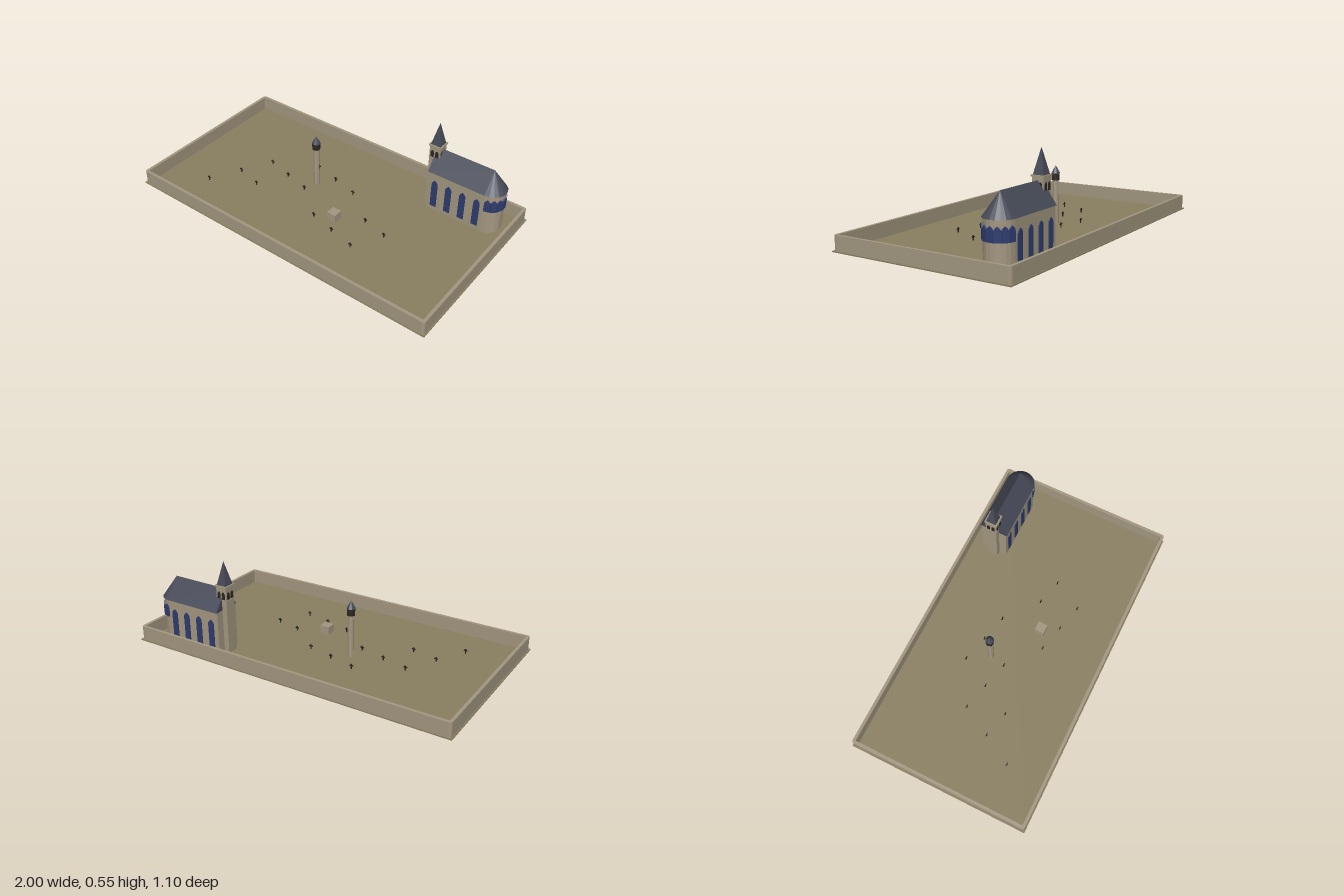
import * as THREE from 'three';

const mat = (color) => new THREE.MeshStandardMaterial({ color, flatShading: true });
const stone = mat(0xa39780);
const earth = mat(0x8a8062);
const slate = mat(0x464a57);
const glass = mat(0x2f3d70);
const dark = mat(0x2c2724);

function add(parent, name, geometry, material, x = 0, y = 0, z = 0) {
  const mesh = new THREE.Mesh(geometry, material);
  mesh.name = name;
  mesh.position.set(x, y, z);
  parent.add(mesh);
  return mesh;
}

// Box standing on y
function box(parent, name, material, w, h, d, x, y, z) {
  return add(parent, name, new THREE.BoxGeometry(w, h, d), material, x, y + h / 2, z);
}

// Rectangle with rounded corners, given by half extents
function roundedRect(shape, a, b, r) {
  shape.moveTo(a, -b + r);
  shape.lineTo(a, b - r);
  shape.quadraticCurveTo(a, b, a - r, b);
  shape.lineTo(-a + r, b);
  shape.quadraticCurveTo(-a, b, -a, b - r);
  shape.lineTo(-a, -b + r);
  shape.quadraticCurveTo(-a, -b, -a + r, -b);
  shape.lineTo(a - r, -b);
  shape.quadraticCurveTo(a, -b, a, -b + r);
  return shape;
}

// Pointed-arch panel, base at y = 0, facing +z
function lancet(w, h, depth) {
  const s = new THREE.Shape();
  const spring = h - w * 0.75;
  s.moveTo(-w / 2, 0);
  s.lineTo(w / 2, 0);
  s.lineTo(w / 2, spring);
  s.quadraticCurveTo(w / 2, spring + w * 0.4, 0, h);
  s.quadraticCurveTo(-w / 2, spring + w * 0.4, -w / 2, spring);
  const g = new THREE.ExtrudeGeometry(s, { depth, bevelEnabled: false, curveSegments: 4 });
  return g.translate(0, 0, -depth / 2);
}

function createChapel() {
  const chapel = new THREE.Group();
  chapel.name = 'chapel';
  chapel.position.z = -0.38;
  const eaves = 0.265, ridge = 0.387, r = 0.081, apseX = 0.835, westX = 0.475;

  // Nave and half-round apse
  box(chapel, 'nave', stone, apseX - westX, eaves, r * 2, (apseX + westX) / 2, 0, 0);
  add(chapel, 'apse', new THREE.CylinderGeometry(r, r, eaves, 10, 1, false, 0, Math.PI),
    stone, apseX, eaves / 2, 0);

  // Gabled roof ending in a half cone
  const gable = new THREE.Shape([
    new THREE.Vector2(-0.088, eaves), new THREE.Vector2(0.088, eaves), new THREE.Vector2(0, ridge)]);
  const roof = new THREE.ExtrudeGeometry(gable, { depth: apseX - westX, bevelEnabled: false });
  roof.rotateY(Math.PI / 2);
  add(chapel, 'naveRoof', roof, slate, westX, 0, 0);
  add(chapel, 'apseRoof', new THREE.ConeGeometry(0.088, ridge - eaves, 10, 1, false, 0, Math.PI),
    slate, apseX, (eaves + ridge) / 2, 0);

  // Lancet windows along both nave sides
  const naveWindow = lancet(0.038, 0.18, 0.01);
  for (const side of [1, -1])
    for (let i = 0; i < 4; i++)
      add(chapel, 'naveWindow', naveWindow, glass, 0.523 + i * 0.09, 0.035, side * r);

  // Ring of short windows round the apse
  const apseWindow = lancet(0.036, 0.077, 0.012);
  for (let i = -3; i <= 3; i++) {
    const a = Math.PI / 2 + i * 0.44;
    const w = add(chapel, 'apseWindow', apseWindow, glass,
      apseX + Math.sin(a) * r, 0.159, Math.cos(a) * r);
    w.rotation.y = a;
  }

  // Bell tower with paired openings and a spire
  const tower = new THREE.Group();
  tower.name = 'bellTower';
  tower.position.x = 0.477;
  chapel.add(tower);
  box(tower, 'towerShaft', stone, 0.068, 0.405, 0.068, 0, 0, 0);
  box(tower, 'stringCourse', stone, 0.074, 0.006, 0.074, 0, 0.324, 0);
  box(tower, 'cornice', stone, 0.079, 0.009, 0.079, 0, 0.403, 0);
  const opening = lancet(0.02, 0.045, 0.006);
  for (let k = 0; k < 4; k++) {
    const face = new THREE.Group();
    face.name = 'belfryFace';
    face.rotation.y = k * Math.PI / 2;
    tower.add(face);
    for (const s of [-1, 1]) add(face, 'belfryOpening', opening, dark, s * 0.015, 0.333, 0.0335);
  }
  const spire = new THREE.ConeGeometry(0.031 * Math.SQRT2, 0.137, 4);
  add(tower, 'spire', spire.rotateY(Math.PI / 4), slate, 0, 0.412 + 0.0685, 0);
  return chapel;
}

function createLanternTower() {
  const lantern = new THREE.Group();
  lantern.name = 'lanternTower';
  lantern.position.set(-0.165, 0, -0.08);
  add(lantern, 'column', new THREE.CylinderGeometry(0.018, 0.018, 0.265, 8), stone, 0, 0.1325, 0);
  add(lantern, 'lanternHead', new THREE.CylinderGeometry(0.024, 0.024, 0.041, 8), dark, 0, 0.2845, 0);
  add(lantern, 'lanternRoof', new THREE.ConeGeometry(0.026, 0.047, 8), slate, 0, 0.3285, 0);
  return lantern;
}

export function createModel() {
  const model = new THREE.Group();
  model.name = 'churchyard';

  // Ground slab
  box(model, 'ground', earth, 2, 0.006, 1.1, 0, 0, 0);

  // Enclosing wall
  const ring = roundedRect(new THREE.Shape(), 0.992, 0.544, 0.016);
  ring.holes.push(roundedRect(new THREE.Path(), 0.974, 0.526, 0.008));
  const wall = new THREE.ExtrudeGeometry(ring, { depth: 0.09, bevelEnabled: false, curveSegments: 3 });
  add(model, 'enclosingWall', wall.rotateX(-Math.PI / 2), stone);

  model.add(createChapel(), createLanternTower());

  // Stone tomb block
  box(model, 'tombBlock', stone, 0.058, 0.055, 0.058, 0.117, 0, 0.115);

  // Grave crosses
  const graves = [
    [-0.245, -0.205], [-0.085, -0.165], [0.075, -0.125], [-0.505, -0.065], [-0.345, -0.025],
    [0.28, 0.035], [-0.185, 0.015], [0.435, 0.075], [-0.605, 0.115], [-0.445, 0.155],
    [0.015, 0.175], [0.175, 0.215], [0.335, 0.255], [-0.705, 0.295]];
  for (const [x, z] of graves) {
    const cross = new THREE.Group();
    cross.name = 'graveCross';
    cross.position.set(x, 0, z);
    box(cross, 'crossPost', dark, 0.006, 0.036, 0.005, 0, 0, 0);
    box(cross, 'crossBar', dark, 0.022, 0.006, 0.005, 0, 0.023, 0);
    model.add(cross);
  }
  return model;
}
